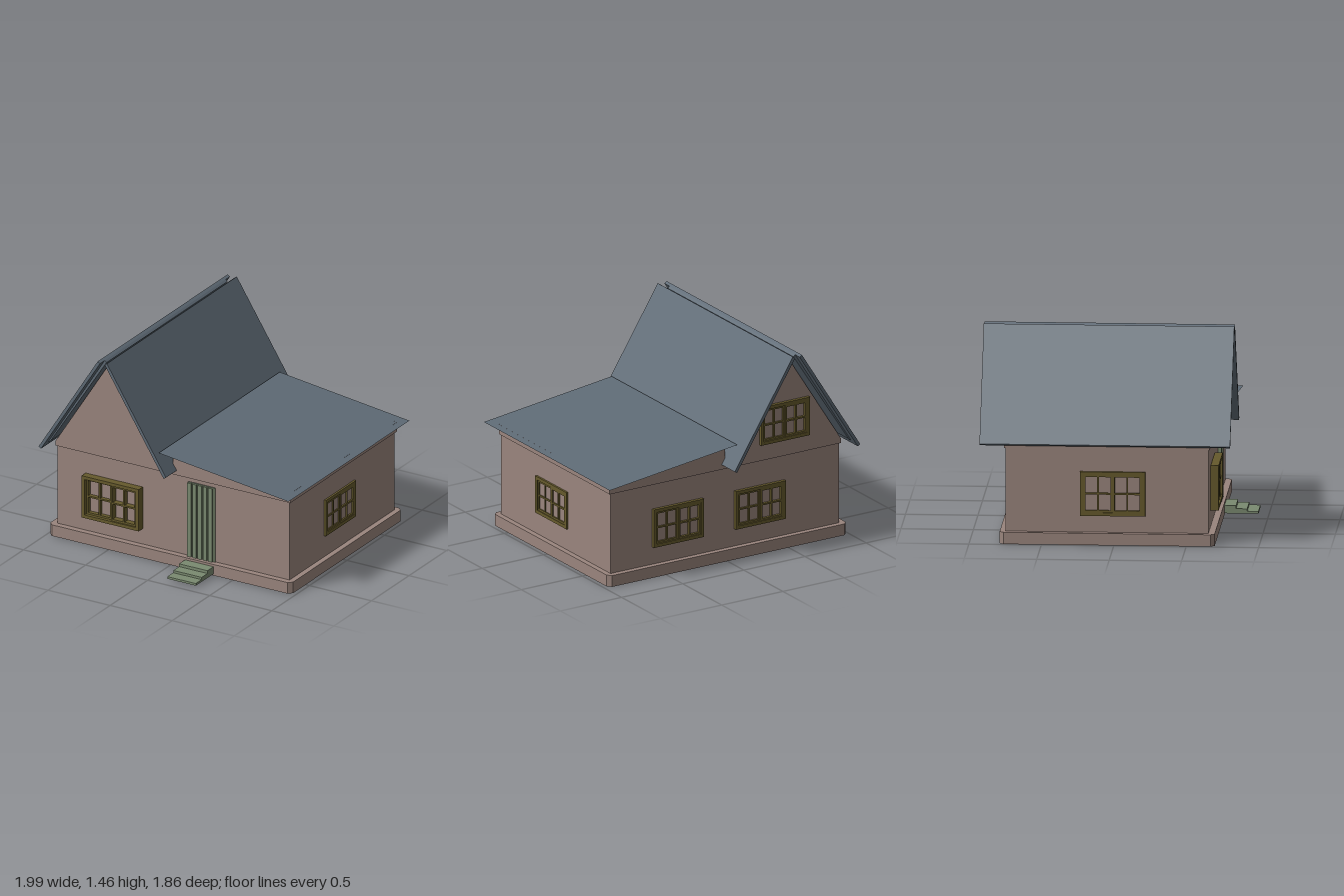
import * as THREE from 'three';

const mat = (color) => new THREE.MeshStandardMaterial({ color, flatShading: true, side: THREE.DoubleSide });
const WALL = mat(0x9a857d), ROOF = mat(0x5f6b76), WOOD = mat(0x665a2c), GREEN = mat(0x7a8a70);

export function createModel() {
  const house = new THREE.Group();
  house.name = 'house';

  const add = (parent, name, geometry, material) => {
    const mesh = new THREE.Mesh(geometry, material);
    mesh.name = name;
    parent.add(mesh);
    return mesh;
  };
  // Box given by its minimum and maximum corners
  const box = (parent, name, a, b, material) => add(parent, name,
    new THREE.BoxGeometry(b[0] - a[0], b[1] - a[1], b[2] - a[2])
      .translate((a[0] + b[0]) / 2, (a[1] + b[1]) / 2, (a[2] + b[2]) / 2), material);
  const shapeOf = (pts) => new THREE.Shape(pts.map(([x, y]) => new THREE.Vector2(x, y)));
  const rect = (x0, y0, x1, y1) => [[x0, y0], [x1, y0], [x1, y1], [x0, y1]];

  // Open band of quads between two rings of points
  const band = (name, low, high, material) => {
    const n = low.length, index = [];
    for (let i = 0; i < n; i++) {
      const j = (i + 1) % n;
      index.push(i, j, n + j, i, n + j, n + i);
    }
    const g = new THREE.BufferGeometry();
    g.setAttribute('position', new THREE.Float32BufferAttribute([...low, ...high].flat(), 3));
    g.setIndex(index);
    const flat = g.toNonIndexed();
    flat.computeVertexNormals();
    return add(house, name, flat, material);
  };
  // Rectangular ring at height y with chamfered corners, counter-clockwise from above
  const ring = (x0, x1, z0, z1, c, y) => [
    [x0 + c, y, z1], [x1 - c, y, z1], [x1, y, z1 - c], [x1, y, z0 + c],
    [x1 - c, y, z0], [x0 + c, y, z0], [x0, y, z0 + c], [x0, y, z1 - c]];

  // Hollow plinth and its ledge
  const plinth = (y) => ring(-0.985, 0.97, -0.79, 0.695, 0.028, y);
  const wallRing = (y) => ring(-0.94, 0.93, -0.75, 0.65, 0.0005, y);
  const upperRing = (y) => ring(-0.95, 0.943, -0.76, 0.66, 0.0005, y);
  band('plinth', plinth(0), plinth(0.083), WALL);
  band('plinthLedge', plinth(0.083), wallRing(0.083), WALL);
  band('upperLedge', wallRing(0.67), upperRing(0.67), WALL);

  // Walls, the front one with a doorway
  const front = shapeOf(rect(-0.94, 0.083, 0.93, 0.67));
  front.holes.push(shapeOf(rect(0.12, 0.09, 0.335, 0.64)));
  add(house, 'frontWall', new THREE.ShapeGeometry(front), WALL).position.z = 0.65;
  const back = new THREE.ShapeGeometry(shapeOf(rect(-0.93, 0.083, 0.94, 0.67))).rotateY(Math.PI);
  add(house, 'backWall', back, WALL).position.z = -0.75;
  const sideWall = (name, x, y0, y1, depth) => {
    const g = new THREE.PlaneGeometry(depth, y1 - y0).rotateY(Math.sign(x) * Math.PI / 2);
    add(house, name, g, WALL).position.set(x, (y0 + y1) / 2, -0.05);
  };
  sideWall('rightSideWall', 0.93, 0.083, 0.67, 1.4);
  sideWall('leftSideWall', -0.94, 0.083, 0.67, 1.4);
  sideWall('rightUpperWall', 0.943, 0.67, 0.74, 1.42);
  sideWall('leftUpperWall', -0.95, 0.67, 0.70, 1.42);

  // Gable ends: steep triangle joined to the low lean-to
  const gable = [[-0.95, 0.67], [0.943, 0.67], [0.943, 0.74], [0, 0.85], [0, 0.71], [-0.02, 0.71],
    [-0.485, 1.43], [-0.95, 0.70]];
  for (const [name, z, flip] of [['frontGable', 0.66, 1], ['backGable', -0.76, -1]]) {
    const g = new THREE.ShapeGeometry(shapeOf(gable.map(([x, y]) => [x * flip, y])));
    if (flip < 0) g.rotateY(Math.PI);
    add(house, name, g, WALL).position.z = z;
  }

  // Steep roof: on each slope an outer slab over a shorter inner one
  const slab = (name, pts, z0, z1, side) => {
    const shape = shapeOf(pts.map(([d, y]) => [-0.485 + side * d, y]));
    const g = new THREE.ExtrudeGeometry(shape, { depth: z1 - z0, bevelEnabled: false });
    add(house, name, g, ROOF).position.z = z0;
  };
  for (const side of [-1, 1]) {
    const label = side < 0 ? 'left' : 'right';
    slab(label + 'RoofSlab', [[0.037, 1.455], [0.513, 0.705], [0.494, 0.692], [0.018, 1.443]], -0.927, 0.803, side);
    slab(label + 'RoofLining', [[0.018, 1.443], [0.476, 0.722], [0.456, 0.735], [0.004, 1.43]], -0.87, 0.74, side);
  }

  // Thin lean-to roof
  const lean = new THREE.PlaneGeometry(Math.hypot(1.045, 0.127), 1.61).rotateX(-Math.PI / 2);
  const leanRoof = add(house, 'lowRoof', lean, ROOF);
  leanRoof.position.set(0.4725, 0.797, -0.035);
  leanRoof.rotation.z = -Math.atan2(0.127, 1.045);

  // Two-sash window facing +z, standing out from the wall by d
  const makeWindow = (name, w, h, d) => {
    const group = new THREE.Group();
    group.name = name;
    const t = 0.024, iw = w / 2 - t, ih = h / 2 - t;
    const frame = shapeOf(rect(-w / 2, -h / 2, w / 2, h / 2));
    frame.holes.push(shapeOf(rect(-iw, -ih, iw, ih)));
    add(group, 'frame', new THREE.ExtrudeGeometry(frame, { depth: d, bevelEnabled: false }), WOOD);
    for (const s of [-1, 1]) {
      const x0 = s < 0 ? -iw : 0, x1 = s < 0 ? 0 : iw, b = 0.014, m = 0.006;
      const cx = (x0 + x1) / 2;
      const sash = shapeOf(rect(x0, -ih, x1, ih));
      for (const [u0, u1] of [[x0 + b, cx - m], [cx + m, x1 - b]])
        for (const [v0, v1] of [[-ih + b, -m], [m, ih - b]])
          sash.holes.push(shapeOf(rect(u0, v0, u1, v1)));
      const depth = d * (s < 0 ? 0.55 : 0.8);
      add(group, 'sash', new THREE.ExtrudeGeometry(sash, { depth, bevelEnabled: false }), WOOD);
    }
    house.add(group);
    return group;
  };
  const windows = [
    ['frontWindow', 0.46, 0.315, 0.055, -0.48, 0.357, 0.652, 0],
    ['rightSideWindow', 0.40, 0.27, 0.015, 0.931, 0.376, -0.01, Math.PI / 2],
    ['leftSideWindow', 0.45, 0.31, 0.02, -0.941, 0.355, -0.01, -Math.PI / 2],
    ['backWindow', 0.41, 0.28, 0.024, 0.385, 0.35, -0.751, Math.PI],
    ['backWindow', 0.41, 0.28, 0.024, -0.285, 0.35, -0.751, Math.PI],
    ['atticWindow', 0.40, 0.28, 0.024, -0.48, 0.93, -0.761, Math.PI]];
  for (const [name, w, h, d, x, y, z, turn] of windows) {
    const win = makeWindow(name, w, h, d);
    win.position.set(x, y, z);
    win.rotation.y = turn;
  }

  // Ribbed plank door
  const door = new THREE.Group();
  door.name = 'door';
  house.add(door);
  box(door, 'doorPanel', [0.118, 0.083, 0.652], [0.337, 0.64, 0.66], GREEN);
  for (let i = 0; i < 5; i++) {
    const x = 0.12 + i * 0.0425;
    box(door, 'plank', [x, 0.085, 0.66], [x + 0.03, 0.638, 0.674], GREEN);
  }

  // Front steps
  const steps = new THREE.Group();
  steps.name = 'steps';
  house.add(steps);
  [[0.775, 0.066], [0.852, 0.045], [0.93, 0.028]].forEach(([z, top], i) =>
    box(steps, 'step', [0.117, 0.012, i ? 0.775 + (i - 1) * 0.077 : 0.695], [0.345, top, z], GREEN));

  return house;
}
